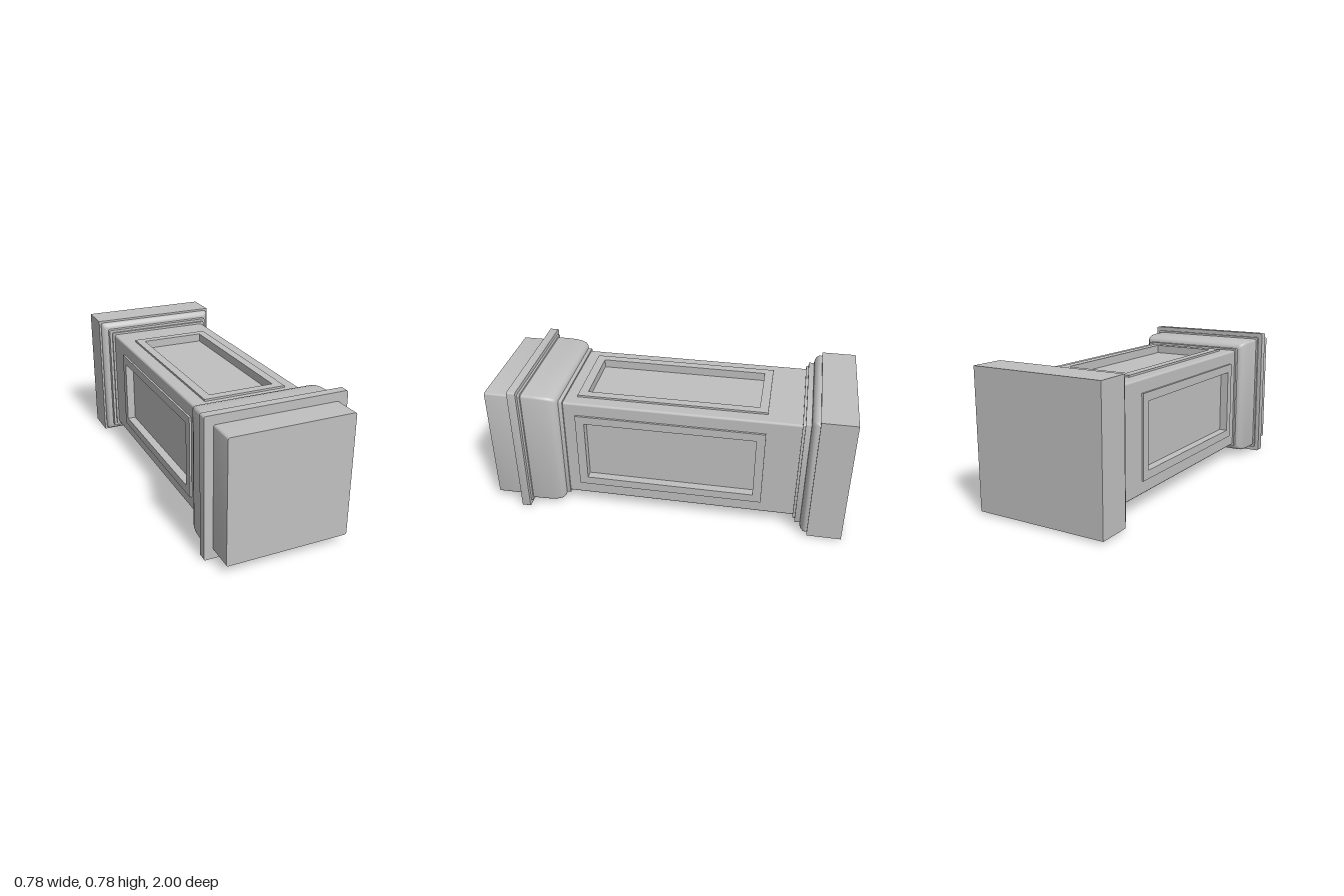
import * as THREE from 'three';
import { toCreasedNormals } from 'three/addons/utils/BufferGeometryUtils.js';

const CENTER_Y = 0.389;
const SHAFT = 0.304, CORE = 0.268, ROUND = 0.012;

// Lofts rounded squares along z; profile is a list of [z, half width] with rising z
function loft(profile, radius) {
  const points = [[profile[0][0], 0], ...profile, [profile[profile.length - 1][0], 0]];
  const pos = [], index = [], steps = 3, n = 4 * (steps + 1);
  for (const [z, h] of points) {
    const r = Math.min(radius, h);
    for (let c = 0; c < 4; c++) {
      const mid = Math.PI / 4 + c * Math.PI / 2;
      const cx = Math.sign(Math.cos(mid)) * (h - r), cy = Math.sign(Math.sin(mid)) * (h - r);
      for (let s = 0; s <= steps; s++) {
        const a = (c + s / steps) * Math.PI / 2;
        pos.push(cx + r * Math.cos(a), cy + r * Math.sin(a), z);
      }
    }
  }
  for (let i = 0; i < points.length - 1; i++) {
    for (let j = 0; j < n; j++) {
      const a = i * n + j, b = i * n + (j + 1) % n;
      if (i > 0) index.push(a, b, b + n);
      if (i < points.length - 2) index.push(a, b + n, a + n);
      if (i === 0) index.push(a, b + n, a + n);
    }
  }
  const geo = new THREE.BufferGeometry();
  geo.setAttribute('position', new THREE.Float32BufferAttribute(pos, 3));
  geo.setIndex(index);
  return toCreasedNormals(geo, 0.65);
}

// Flat rectangular ring lying in the xz plane, rising from y0 to y1
function ring(w, z0, z1, holeW, holeZ0, holeZ1, y0, y1) {
  const rect = (T, h, a, b) => {
    const p = new T();
    p.moveTo(-h, -b);
    p.lineTo(h, -b);
    p.lineTo(h, -a);
    p.lineTo(-h, -a);
    p.closePath();
    return p;
  };
  const shape = rect(THREE.Shape, w, z0, z1);
  shape.holes.push(rect(THREE.Path, holeW, holeZ0, holeZ1));
  const geo = new THREE.ExtrudeGeometry(shape, { depth: y1 - y0, bevelEnabled: false });
  return geo.rotateX(-Math.PI / 2).translate(0, y0, 0);
}

export function createModel() {
  const model = new THREE.Group();
  model.name = 'pedestal';
  const body = new THREE.Group();
  body.name = 'pedestalBody';
  body.position.y = CENTER_Y;
  model.add(body);

  const stone = new THREE.MeshStandardMaterial({ color: 0xc0c0c0 });
  stone.name = 'grey stone';
  const add = (name, geo, parent = body) => {
    const mesh = new THREE.Mesh(geo, stone);
    mesh.name = name;
    parent.add(mesh);
    return mesh;
  };

  // Front end: block, flange, rounded moulding and collar
  add('frontBlock', loft([[0.84, 0.34], [1, 0.34]], 0.01));
  add('frontFlange', loft([[0.8, 0.389], [0.848, 0.389]], 0.01));
  add('frontStep', loft([[0.788, 0.365], [0.802, 0.365]], 0.01));
  add('frontMoulding', loft([[0.592, 0.318], [0.598, 0.331], [0.61, 0.341],
    [0.635, 0.348], [0.67, 0.352], [0.72, 0.354], [0.79, 0.354]], 0.015));
  add('frontCollar', loft([[0.57, 0.314], [0.594, 0.314]], 0.01));

  // Back end: stepped collars, rounded moulding and slab
  add('backCollar', loft([[-0.738, 0.317], [-0.724, 0.317]], 0.008));
  add('backStep', loft([[-0.768, 0.332], [-0.737, 0.332]], 0.008));
  add('backMoulding', loft([[-0.812, 0.366], [-0.8, 0.368], [-0.788, 0.366],
    [-0.777, 0.359], [-0.77, 0.35], [-0.767, 0.34]], 0.015));
  const slab = new THREE.BoxGeometry(0.756, 0.756, 0.19);
  add('backSlab', slab).position.z = -0.905;

  // Shaft: a core that forms the panel floors, four pierced sides, rounded corners
  const z0 = -0.75, z1 = 0.6, length = z1 - z0, mid = (z0 + z1) / 2;
  add('shaftCore', new THREE.BoxGeometry(2 * CORE, 2 * CORE, length)).position.z = mid;
  const side = ring(SHAFT - ROUND, z0, z1, 0.183, -0.491, 0.456, CORE, SHAFT);
  const frame = ring(0.23, -0.539, 0.505, 0.183, -0.491, 0.456, SHAFT - 0.002, 0.315);
  const corner = new THREE.CylinderGeometry(ROUND, ROUND, length, 12).rotateX(Math.PI / 2);
  for (let i = 0; i < 4; i++) {
    const face = new THREE.Group();
    face.name = 'shaftFace' + (i + 1);
    face.rotation.z = i * Math.PI / 2;
    add('shaftSide', side, face);
    add('panelFrame', frame, face);
    add('shaftCorner', corner, face).position.set(SHAFT - ROUND, SHAFT - ROUND, mid);
    body.add(face);
  }
  return model;
}
